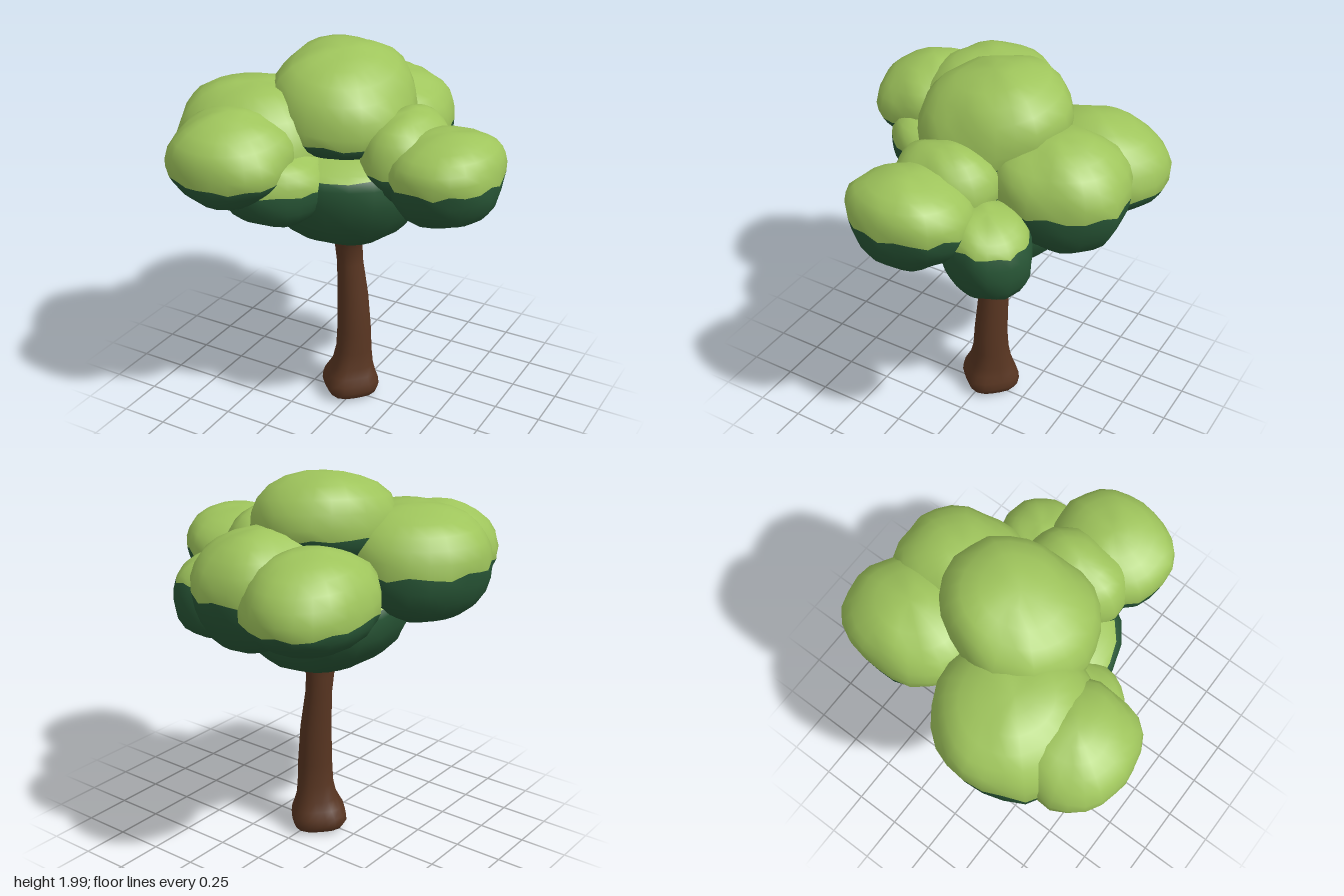
import * as THREE from 'three';
import { mergeVertices } from 'three/addons/utils/BufferGeometryUtils.js';

const paint = (name, color) => {
  const m = new THREE.MeshStandardMaterial({ color });
  m.name = name;
  return m;
};

// at: centre at the widest level; rx, rz: half widths; up, down: heights above and below it
// cut: level where light meets dark; sx, sz: slope of the clump along x and z
const CLUMPS = [
  { name: 'crownClump', at: [-0.06, 1.69, -0.02], rx: 0.36, rz: 0.385, up: 0.29, down: 0.2, cut: 1.65, sx: -0.14, sz: -0.13 },
  { name: 'coreClump', at: [-0.04, 1.37, -0.01], rx: 0.455, rz: 0.45, up: 0.15, down: 0.4, cut: 1.41, sx: 0.06, sz: 0.08 },
  { name: 'rightClump', at: [0.55, 1.49, 0.07], rx: 0.28, rz: 0.31, up: 0.2, down: 0.28, cut: 1.47, sx: 0.04, sz: 0 },
  { name: 'rightInnerClump', at: [0.32, 1.5, 0.03], rx: 0.215, rz: 0.275, up: 0.235, down: 0.2, cut: 1.49, sx: 0, sz: -0.05 },
  { name: 'rightBackClump', at: [0.44, 1.34, -0.28], rx: 0.215, rz: 0.22, up: 0.19, down: 0.26, cut: 1.42, sx: -0.06, sz: 0.1 },
  { name: 'backLeftClump', at: [-0.325, 1.47, -0.47], rx: 0.3, rz: 0.36, up: 0.25, down: 0.22, cut: 1.43, sx: 0, sz: 0.05 },
  { name: 'backClump', at: [0.01, 1.48, -0.42], rx: 0.31, rz: 0.36, up: 0.29, down: 0.31, cut: 1.48, sx: 0, sz: 0 },
  { name: 'leftClump', at: [-0.43, 1.55, 0.22], rx: 0.4, rz: 0.385, up: 0.28, down: 0.33, cut: 1.53, sx: -0.03, sz: -0.04 },
  { name: 'frontLeftClump', at: [-0.375, 1.53, 0.53], rx: 0.305, rz: 0.295, up: 0.235, down: 0.21, cut: 1.49, sx: 0, sz: -0.06 },
  { name: 'frontLowClump', at: [-0.22, 1.41, 0.4], rx: 0.275, rz: 0.25, up: 0.17, down: 0.22, cut: 1.42, sx: -0.04, sz: 0 },
];

// Lumpy rounded ellipsoid whose middle row of points follows the colour border
function clumpGeometry({ at, rx, rz, up, down, cut, sx, sz }, seed) {
  const cols = 24, rows = 14, mid = 7, power = 2.15;
  const geo = new THREE.SphereGeometry(1, cols, rows);
  const pos = geo.attributes.position;
  const rise = cut - at[1];
  const border = Math.acos(rise / (rise > 0 ? up : down));
  for (let i = 0; i < pos.count; i++) {
    const row = Math.floor(i / (cols + 1));
    const col = i % (cols + 1) % cols;
    const a = (col / cols) * Math.PI * 2;
    let t = row <= mid
      ? (border * row) / mid
      : border + ((Math.PI - border) * (row - mid)) / (rows - mid);
    if (row === mid) t += 0.045 * Math.sin(col * 2.4 + seed);
    let x = Math.sin(t) * Math.cos(a), y = Math.cos(t), z = Math.sin(t) * Math.sin(a);
    if (row === 0 || row === rows) x = z = 0;
    const round = Math.pow(Math.abs(x) ** power + Math.abs(y) ** power + Math.abs(z) ** power, -1 / power);
    const lump = 1 + 0.02 * Math.sin(4 * x + 3 * y + seed * 2.1)
      + 0.02 * Math.sin(5 * z - 4 * y + seed * 1.3)
      + 0.015 * Math.sin(9 * x - 7 * z + seed);
    const s = round * lump;
    const px = -x * s * rx, pz = z * s * rz;
    pos.setXYZ(i, px, y * s * (y > 0 ? up : down) + sx * px + sz * pz, pz);
  }
  geo.deleteAttribute('uv');
  geo.deleteAttribute('normal');
  const out = mergeVertices(geo, 1e-5);
  out.computeVertexNormals();
  const split = 3 * (cols + (mid - 1) * cols * 2);
  out.addGroup(0, split, 0);
  out.addGroup(split, out.index.count - split, 1);
  return out;
}

// Trunk rings: y, centre x, centre z, radius x, radius z, root lobe depth
const RINGS = [
  [0.005, -0.025, -0.025, 0.001, 0.001, 0],
  [0.01, -0.025, -0.025, 0.11, 0.115, 0.05],
  [0.025, -0.028, -0.025, 0.138, 0.143, 0.06],
  [0.06, -0.032, -0.025, 0.155, 0.16, 0.07],
  [0.1, -0.032, -0.025, 0.15, 0.155, 0.08],
  [0.14, -0.028, -0.028, 0.13, 0.138, 0.08],
  [0.19, -0.022, -0.032, 0.11, 0.12, 0.06],
  [0.28, -0.016, -0.035, 0.097, 0.1, 0.03],
  [0.4, -0.014, -0.035, 0.093, 0.091, 0.02],
  [0.6, -0.025, -0.042, 0.084, 0.083, 0.02],
  [0.8, -0.042, -0.041, 0.071, 0.071, 0.02],
  [0.9, -0.046, -0.034, 0.072, 0.078, 0.02],
  [1.0, -0.03, -0.022, 0.09, 0.098, 0.02],
  [1.1, -0.02, -0.02, 0.13, 0.13, 0],
];

function trunkGeometry() {
  const sides = 20, pts = [], index = [];
  RINGS.forEach(([y, cx, cz, rx, rz, lobe], r) => {
    for (let j = 0; j < sides; j++) {
      const a = (j / sides) * Math.PI * 2;
      const k = 1 + lobe * Math.cos(4 * a);
      pts.push(cx + rx * k * Math.cos(a), y, cz + rz * k * Math.sin(a));
      if (r === 0) continue;
      const n = (j + 1) % sides;
      const lo = (r - 1) * sides, hi = r * sides;
      index.push(lo + j, hi + j, lo + n, hi + j, hi + n, lo + n);
    }
  });
  const geo = new THREE.BufferGeometry();
  geo.setAttribute('position', new THREE.Float32BufferAttribute(pts, 3));
  geo.setIndex(index);
  geo.computeVertexNormals();
  return geo;
}

export function createModel() {
  const leafLight = paint('light leaf green', 0x9fc55c);
  const leafDark = paint('dark leaf green', 0x285636);
  const bark = paint('bark brown', 0x583521);

  const tree = new THREE.Group();
  tree.name = 'tree';

  const trunk = new THREE.Mesh(trunkGeometry(), bark);
  trunk.name = 'trunk';
  tree.add(trunk);

  // Foliage clumps, light above and dark below
  const foliage = new THREE.Group();
  foliage.name = 'foliage';
  CLUMPS.forEach((spec, i) => {
    const clump = new THREE.Mesh(clumpGeometry(spec, i * 1.7 + 0.5), [leafLight, leafDark]);
    clump.name = spec.name;
    clump.position.set(...spec.at);
    foliage.add(clump);
  });
  tree.add(foliage);
  return tree;
}
